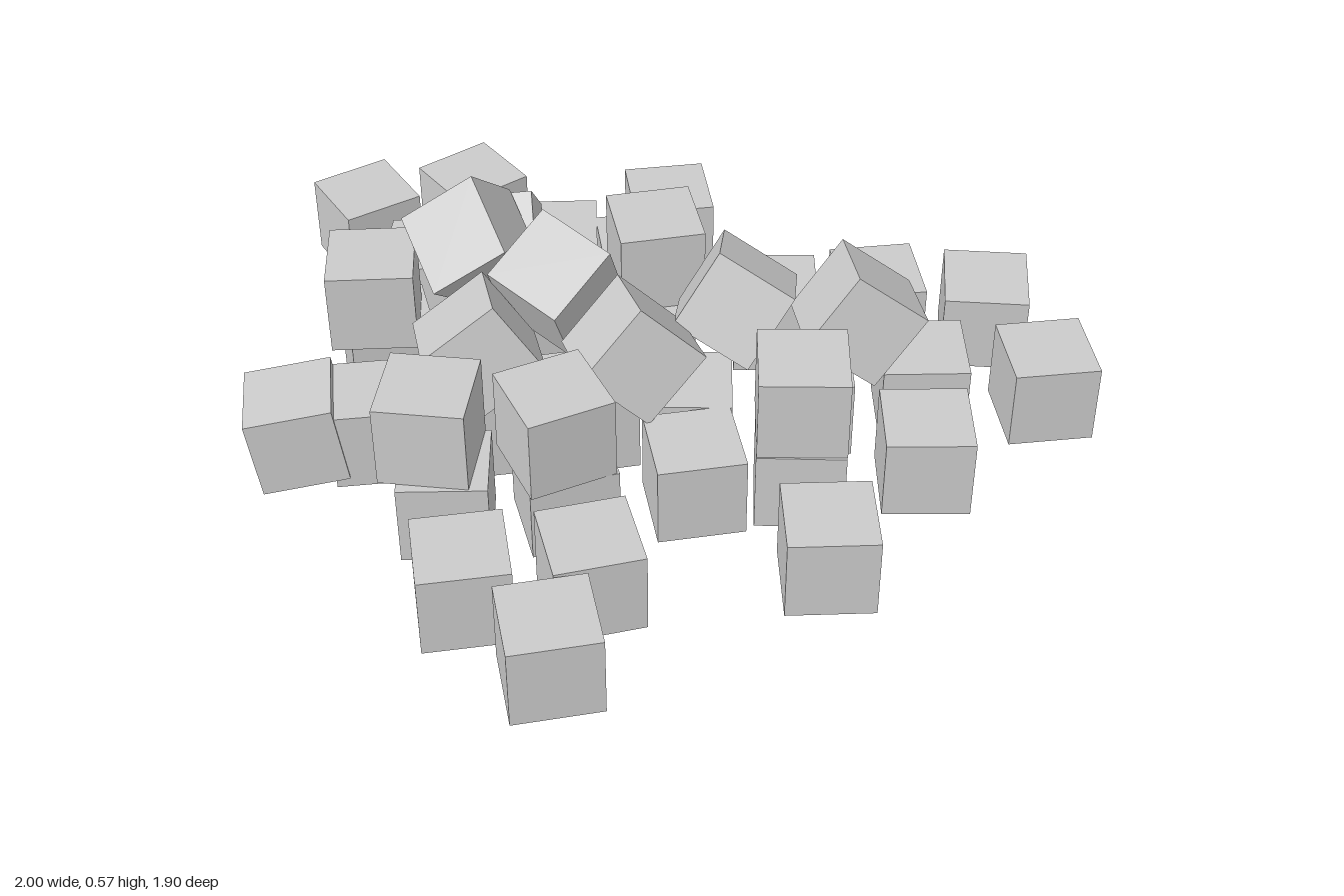
import * as THREE from 'three';

const SIZE = 0.205;
const rad = THREE.MathUtils.degToRad;

export function createModel() {
  const model = new THREE.Group();
  const geometry = new THREE.BoxGeometry(SIZE, SIZE, SIZE);
  const material = new THREE.MeshStandardMaterial({ color: 0xcccccc, flatShading: true });

  // One cube; angles in degrees: yaw, pitch, roll
  function addCube(name, x, y, z, yaw = 0, pitch = 0, roll = 0) {
    const cube = new THREE.Mesh(geometry, material);
    cube.name = name;
    cube.position.set(x, y, z);
    cube.rotation.set(rad(pitch), rad(yaw), rad(roll), 'YXZ');
    model.add(cube);
    return cube;
  }

  // Cube turned so that its x edge follows u and its y edge follows v
  function addAlignedCube(name, centre, u, v) {
    const ux = new THREE.Vector3(...u).normalize();
    const w = ux.clone().cross(new THREE.Vector3(...v)).normalize();
    const cube = addCube(name, ...centre);
    cube.quaternion.setFromRotationMatrix(
      new THREE.Matrix4().makeBasis(ux, w.clone().cross(ux), w));
  }

  // Bottom layer, lying flat: x, z, yaw
  const bottom = [
    // back stragglers
    [-0.70, -0.765, 25], [-0.42, -0.81, 30], [0.085, -0.67, 1],
    // back row
    [-0.555, -0.495, -12], [-0.22, -0.545, -5], [-0.015, -0.46, 1],
    // row behind the middle
    [-0.66, -0.215, 8], [-0.30, -0.22, 10], [-0.04, -0.21, 13],
    [0.295, -0.24, -7], [0.555, -0.245, 0],
    // middle row
    [-0.70, 0.06, 0], [-0.42, 0.065, 2], [-0.20, 0.08, 4], [0.03, 0.12, -8],
    [0.32, 0.085, -6], [0.60, 0.07, -6], [0.895, 0.11, 0],
    // row before the middle
    [-0.55, 0.335, -6], [-0.28, 0.34, 8], [0.015, 0.335, 3],
    [0.26, 0.33, -9], [0.555, 0.325, -7],
    // front rows
    [-0.53, 0.615, 2], [-0.25, 0.615, 7], [0.275, 0.615, -5],
    [-0.36, 0.84, 4],
  ];
  for (const [x, z, yaw] of bottom) addCube('bottomCube', x, SIZE / 2, z, yaw);

  // Second layer, stacked flat: x, z, yaw
  const upper = [
    [-0.575, 0.315, -14], [-0.30, 0.36, 18], [0.26, 0.325, -8],
    [0.0, -0.265, 4], [-0.685, -0.19, -4],
  ];
  for (const [x, z, yaw] of upper) addCube('upperCube', x, SIZE * 1.5, z, yaw);

  // Cubes at the sides that lean a little
  addCube('leaningCube', -0.885, 0.116, 0.065, 0, 0, 7.5);
  addCube('leaningCube', 0.815, 0.108, -0.18, -12, 2, 0);

  // Cubes tumbled along the middle
  addCube('tumbledCube', 0.444, 0.305, 0.045, 0, -9, -37);
  addCube('tumbledCube', 0.16, 0.33, -0.01, -12, -20, -30);
  addCube('tumbledCube', -0.10, 0.32, 0.135, 9, -12, -45);
  addCube('tumbledCube', -0.45, 0.30, 0.055, 4, -12, 33);

  // Cubes heaped at the top of the pile
  addAlignedCube('heapCube', [-0.444, 0.396, -0.231], [0.171, 0.112, 0.01], [0.097, -0.137, -0.132]);
  addAlignedCube('heapCube', [-0.378, 0.285, -0.374], [0.203, 0.02, 0.025], [0.03, -0.137, -0.14]);
  addAlignedCube('heapCube', [-0.256, 0.365, -0.08], [0.143, -0.04, 0.142], [-0.13, -0.09, 0.12]);

  return model;
}
